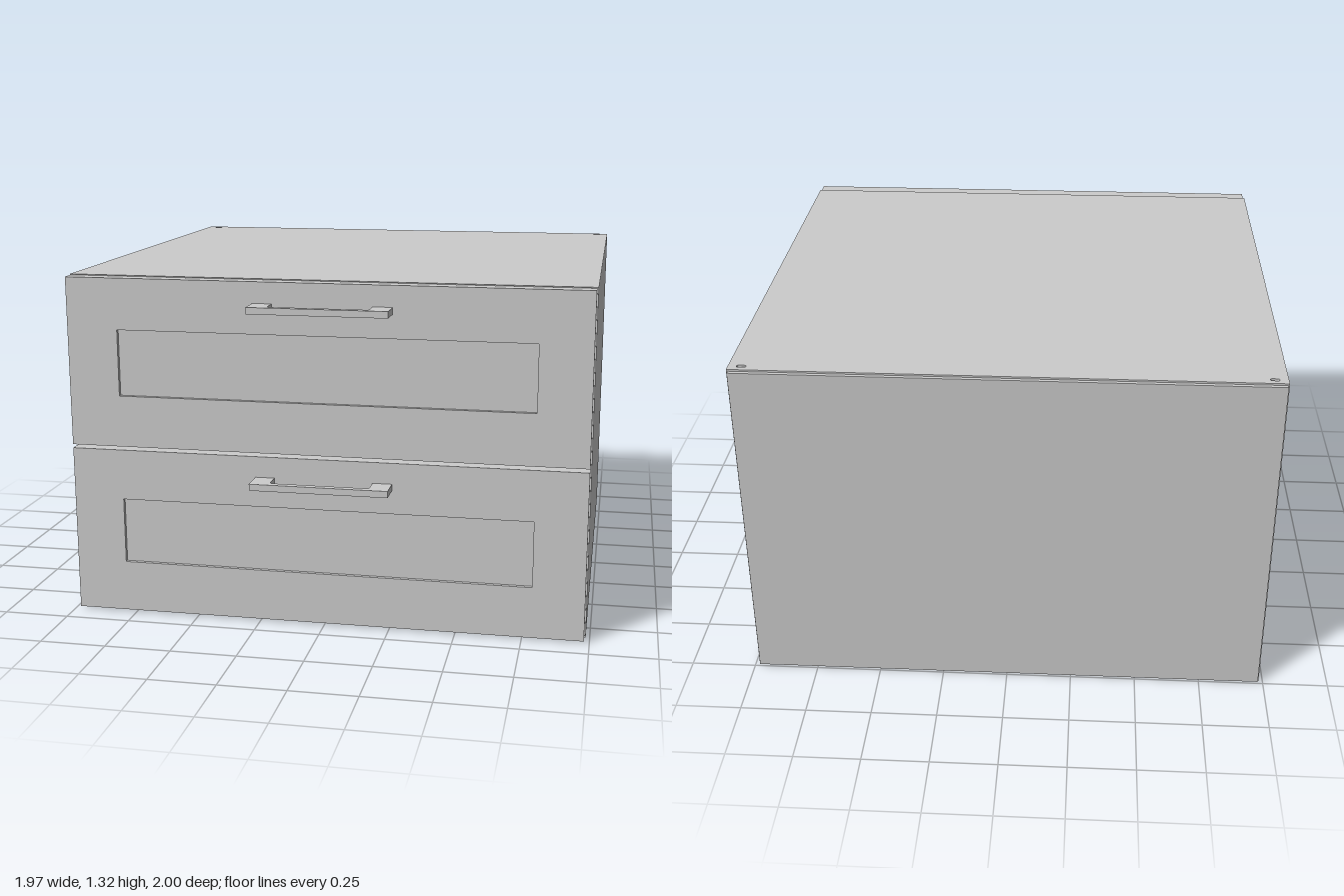
import * as THREE from 'three';

const material = new THREE.MeshStandardMaterial({ color: 0xcccccc });

function add(parent, name, geometry) {
  const mesh = new THREE.Mesh(geometry, material);
  mesh.name = name;
  parent.add(mesh);
  return mesh;
}

// Box given by its minimum and maximum on each axis
function box(parent, name, [x0, x1], [y0, y1], [z0, z1]) {
  const mesh = add(parent, name, new THREE.BoxGeometry(x1 - x0, y1 - y0, z1 - z0));
  mesh.position.set((x0 + x1) / 2, (y0 + y1) / 2, (z0 + z1) / 2);
  return mesh;
}

function rectangle(Type, x0, x1, y0, y1) {
  return new Type([[x0, y0], [x1, y0], [x1, y1], [x0, y1]].map(p => new THREE.Vector2(...p)));
}

function extrude(shape, depth) {
  return new THREE.ExtrudeGeometry(shape, { depth, bevelEnabled: false, curveSegments: 8 });
}

// Rounded slot outline
function slot(cx, cy, length, width) {
  const r = width / 2, h = length / 2 - r;
  const path = new THREE.Path();
  path.absarc(cx + h, cy, r, -Math.PI / 2, Math.PI / 2);
  path.absarc(cx - h, cy, r, Math.PI / 2, Math.PI * 1.5);
  path.closePath();
  return path;
}

// Horizontal carcass panel with a slot at each rear corner
function slottedPanel(parent, name, y) {
  const shape = rectangle(THREE.Shape, -0.955, 0.955, -0.845, 0.985);
  for (const side of [-1, 1]) shape.holes.push(slot(side * 0.937, 0.957, 0.034, 0.015));
  const mesh = add(parent, name, extrude(shape, 0.03));
  mesh.rotation.x = -Math.PI / 2;
  mesh.position.y = y;
}

// Flat pull: two wide feet joined by a slim bar
function createHandle(y) {
  const shape = new THREE.Shape();
  const r = 0.012, inX = 0.187, inZ = 0.07, outX = 0.26, outZ = 0.095;
  shape.moveTo(-outX, 0);
  shape.lineTo(-inX, 0);
  shape.lineTo(-inX, inZ - r);
  shape.quadraticCurveTo(-inX, inZ, -inX + r, inZ);
  shape.lineTo(inX - r, inZ);
  shape.quadraticCurveTo(inX, inZ, inX, inZ - r);
  shape.lineTo(inX, 0);
  shape.lineTo(outX, 0);
  shape.lineTo(outX, outZ);
  shape.lineTo(-outX, outZ);
  const mesh = new THREE.Mesh(extrude(shape, 0.025), material);
  mesh.name = 'handle';
  mesh.rotation.x = Math.PI / 2;
  mesh.position.set(0, y + 0.025, 0.905);
  return mesh;
}

// Drawer with framed front, recessed panel, handle and inner box
function createDrawer(name, y) {
  const drawer = new THREE.Group();
  drawer.name = name;
  const frame = rectangle(THREE.Shape, -0.98, 0.98, 0, 0.645);
  frame.holes.push(rectangle(THREE.Path, -0.785, 0.785, 0.197, 0.45));
  add(drawer, 'frontFrame', extrude(frame, 0.055)).position.z = 0.85;
  box(drawer, 'recessedPanel', [-0.785, 0.785], [0.197, 0.45], [0.85, 0.89]);
  for (const [side, x] of [['right', -0.9], ['left', 0.87]])
    box(drawer, side + 'DrawerSide', [x, x + 0.03], [0.08, 0.5], [-0.85, 0.85]);
  box(drawer, 'drawerBack', [-0.87, 0.87], [0.08, 0.5], [-0.85, -0.82]);
  box(drawer, 'drawerBottom', [-0.87, 0.87], [0.08, 0.1], [-0.82, 0.85]);
  drawer.add(createHandle(0.54));
  drawer.position.y = y;
  return drawer;
}

export function createModel() {
  const model = new THREE.Group();
  model.name = 'drawerCabinet';

  // Carcass
  const carcass = new THREE.Group();
  carcass.name = 'carcass';
  model.add(carcass);
  box(carcass, 'rightSide', [-0.985, -0.955], [0, 1.315], [-0.985, 0.845]);
  box(carcass, 'leftSide', [0.955, 0.985], [0, 1.315], [-0.985, 0.845]);
  slottedPanel(carcass, 'bottomPanel', 0);
  slottedPanel(carcass, 'topPanel', 1.285);
  box(carcass, 'backPanel', [-0.98, 0.98], [0.008, 1.308], [-1, -0.985]);
  box(carcass, 'frontRail', [-0.955, 0.955], [0.645, 0.675], [0.78, 0.845]);

  // Drawers
  model.add(createDrawer('lowerDrawer', 0.008));
  model.add(createDrawer('upperDrawer', 0.667));
  return model;
}
